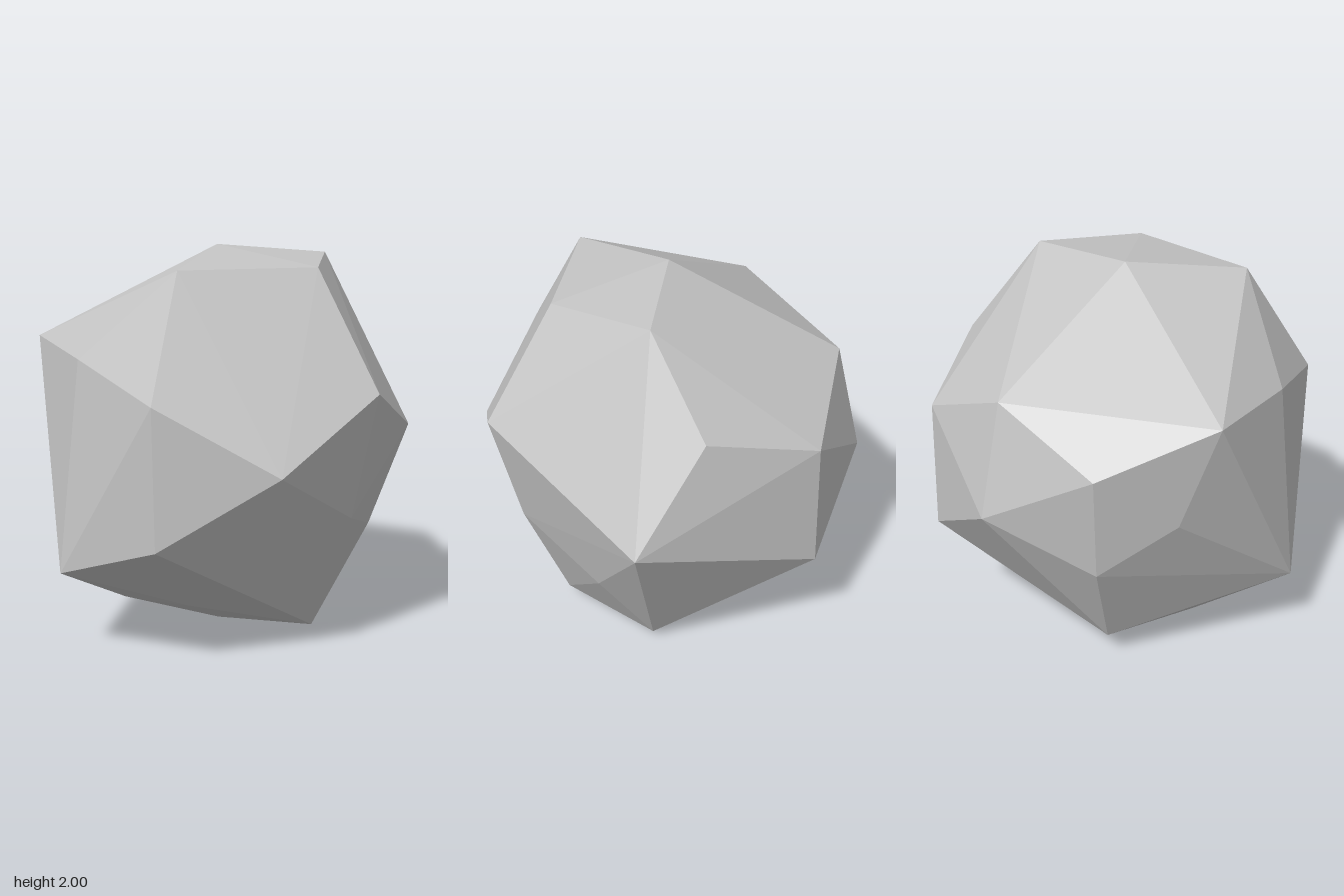
import * as THREE from 'three';
import { ConvexGeometry } from 'three/addons/geometries/ConvexGeometry.js';

// Corners of the faceted boulder, ordered from top to bottom
const CORNERS = [
  // crown
  [-0.1, 2, 0], [0.49, 1.95, 0], [0.25, 1.91, 0.515], [-0.45, 1.91, 0.515],
  // shoulders
  [-0.1, 1.57, -0.86], [-0.97, 1.53, -0.31], [-0.88, 1.48, 0.27], [0.72, 1.5, -0.29],
  [0.45, 1.33, 0.82], [-0.66, 1.33, 0.82], [0.45, 1.33, -0.81], [-0.6, 1.3, -0.76],
  // waist
  [-0.1, 1, 1], [-0.1, 1, -1], [1, 1, 0], [-0.82, 0.99, -0.41],
  // lower flanks
  [-0.56, 0.73, -0.7], [0.37, 0.7, 0.7], [-0.65, 0.65, 0.82], [0.45, 0.65, -0.83],
  [0.66, 0.53, 0.25], [-1, 0.43, 0.3],
  // underside
  [-0.39, 0.24, 0.42], [-0.61, 0.17, 0], [-0.42, 0.16, -0.47],
  [0.24, 0.1, 0.51], [0.48, 0.05, 0], [-0.1, 0, 0],
];

export function createModel() {
  const stone = new THREE.MeshStandardMaterial({ color: 0xc4c4c4 });
  stone.name = 'stone grey';
  stone.flatShading = true;

  // The boulder is the convex skin around its corners
  const points = CORNERS.map((c) => new THREE.Vector3(...c));
  const boulder = new THREE.Mesh(new ConvexGeometry(points), stone);
  boulder.name = 'boulder';

  const model = new THREE.Group();
  model.name = 'rock';
  model.add(boulder);
  return model;
}
